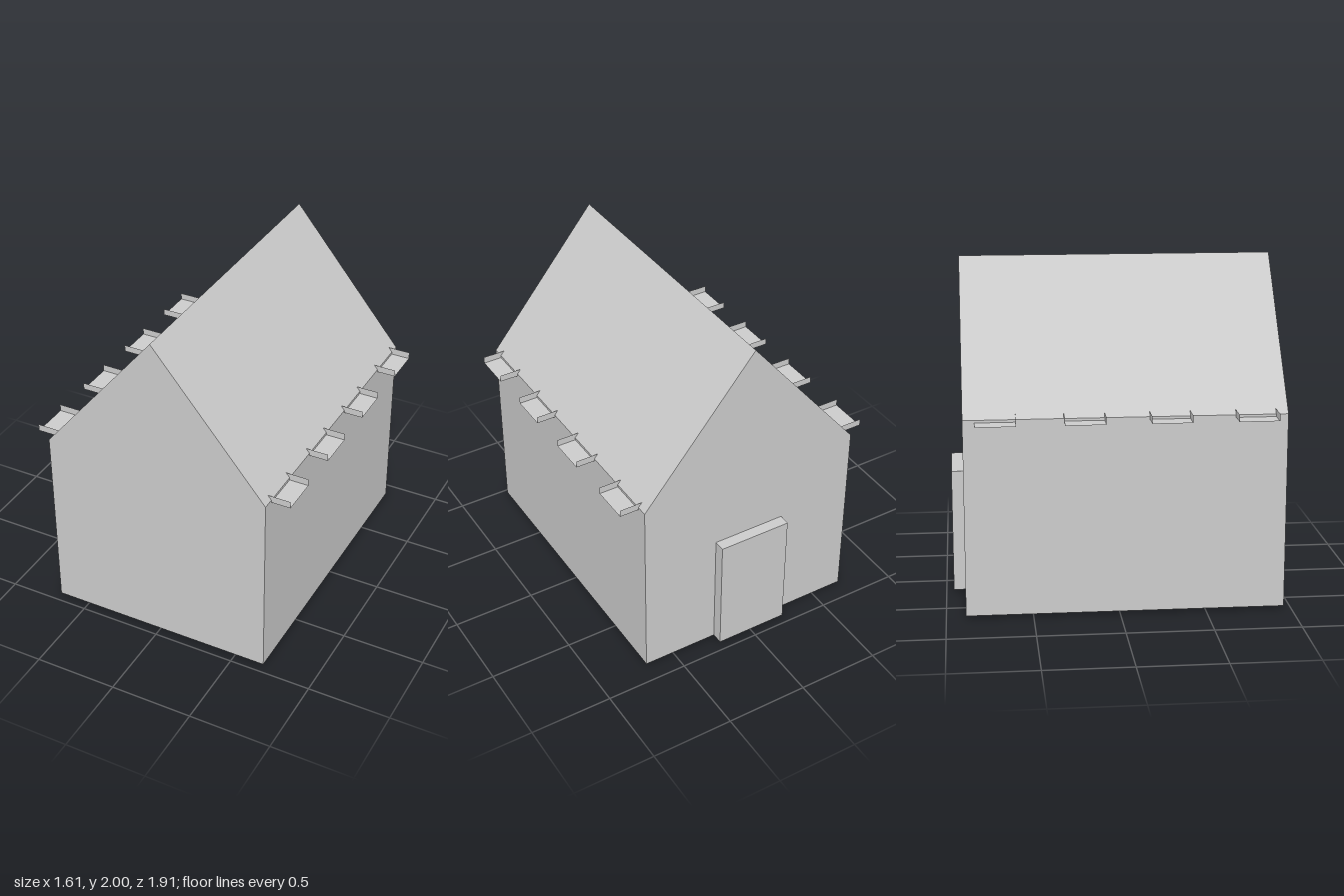
import * as THREE from 'three';

const material = new THREE.MeshStandardMaterial({ color: 0xcccccc, flatShading: true });
const thinMaterial = new THREE.MeshStandardMaterial({ color: 0xcccccc, flatShading: true, side: THREE.DoubleSide });

const FLOOR = 0.018, EAVE = 1.165, RIDGE = 2, HALF = 0.69;
const BACK = -0.887, FRONT = 0.956;

function addMesh(parent, name, geometry, x = 0, y = 0, z = 0, mat = material) {
  const mesh = new THREE.Mesh(geometry, mat);
  mesh.name = name;
  mesh.position.set(x, y, z);
  parent.add(mesh);
  return mesh;
}

// Open tray at the eave: a thin floor and two thin cheeks, open at the outer end
function makeTray() {
  const tray = new THREE.Group();
  const inner = 0.66, outer = 0.805, length = outer - inner, mid = (inner + outer) / 2;
  const width = 0.23, height = 0.042;
  addMesh(tray, 'trayFloor', new THREE.PlaneGeometry(length, width).rotateX(-Math.PI / 2), mid, 0, 0, thinMaterial);
  for (const s of [-1, 1]) {
    addMesh(tray, 'trayCheek', new THREE.PlaneGeometry(length, height), mid, height / 2, s * width / 2, thinMaterial);
  }
  return tray;
}

export function createModel() {
  const model = new THREE.Group();
  model.name = 'house';

  // Walls and gable roof in one extruded profile
  const profile = new THREE.Shape([
    [-HALF, FLOOR], [HALF, FLOOR], [HALF, EAVE], [0, RIDGE], [-HALF, EAVE],
  ].map(([x, y]) => new THREE.Vector2(x, y)));
  addMesh(model, 'houseBody',
    new THREE.ExtrudeGeometry(profile, { depth: FRONT - BACK, bevelEnabled: false }), 0, 0, BACK);

  // Door slab on the back gable
  const doorTop = 0.752, doorBack = -0.956;
  addMesh(model, 'door', new THREE.BoxGeometry(0.447, doorTop - FLOOR, BACK - doorBack),
    0, (doorTop + FLOOR) / 2, (BACK + doorBack) / 2);

  // Four eave trays along each side
  for (const side of [-1, 1]) {
    for (const z of [-0.705, -0.205, 0.28, 0.77]) {
      const tray = makeTray();
      tray.name = side > 0 ? 'leftTray' : 'rightTray';
      tray.position.set(0, 1.15, side * z);
      tray.position.z = z;
      if (side < 0) tray.rotation.y = Math.PI, tray.position.z = z;
      model.add(tray);
    }
  }

  // Small studs under the floor: x, z, lowest point
  const studs = [
    [-0.053, 0.551, 0], [-0.107, 0.856, 0], [-0.503, 0.473, 0], [-0.56, 0.775, 0],
    [-0.236, 0.22, 0.009], [-0.196, 0.458, 0.009], [-0.436, 0.255, 0.009], [-0.397, 0.494, 0.009],
  ];
  for (const [x, z, low] of studs) {
    const top = FLOOR + 0.005;
    addMesh(model, 'floorStud', new THREE.CylinderGeometry(0.015, 0.015, top - low, 8), x, (top + low) / 2, z);
  }

  return model;
}
